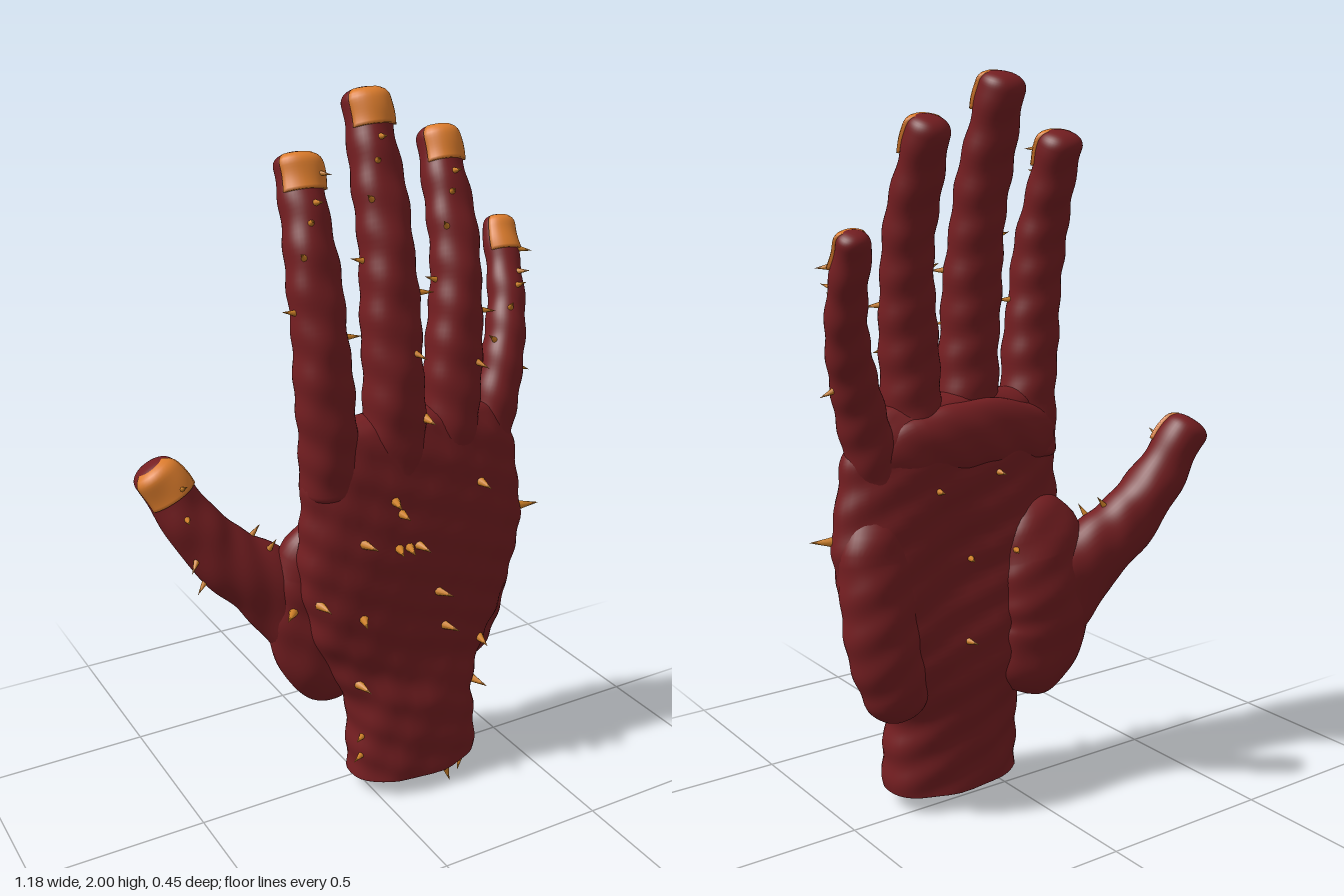
import * as THREE from 'three';

const skin = new THREE.MeshStandardMaterial({ color: 0x741e21 });
skin.name = 'darkRedSkin';
const nailMat = new THREE.MeshStandardMaterial({ color: 0xdc7c2c, side: THREE.DoubleSide });
nailMat.name = 'orangeNail';
const spikeMat = new THREE.MeshStandardMaterial({ color: 0xcc7f26 });
spikeMat.name = 'amberSpike';

const AROUND = 40;
const UP = new THREE.Vector3(0, 1, 0), FRONT = new THREE.Vector3(0, 0, 1);

// Tube through stations [x, y, z, halfWidth, halfDepth]; start and end are the rounded fractions of its length.
// at(u, angle, grow) gives a point on it.
function makeSurface(stations, { start, end, power = 2, upright = false, hollow = 0, wrinkles = 0.6 }) {
  const curve = f => new THREE.CatmullRomCurve3(stations.map(f), false, 'catmullrom', 0.5);
  const path = curve(s => new THREE.Vector3(s[0], s[1], s[2]));
  const size = curve(s => new THREE.Vector3(s[3], s[4], 0));
  const cap = k => k >= 1 ? 1 : Math.pow(Math.max(0, 1 - Math.pow(1 - k, 2.6)), 1 / 2.6);
  const bulge = v => Math.sign(v) * Math.pow(Math.abs(v), 2 / power);
  const at = (u, a, grow = 0) => {
    const q = path.getPoint(u), r = size.getPoint(u);
    const t = upright ? UP : path.getTangent(u);
    const side = new THREE.Vector3().crossVectors(t, FRONT).normalize();
    const front = new THREE.Vector3().crossVectors(side, t);
    const k = cap(u / start) * cap((1 - u) / end);
    const c = Math.cos(a), s = Math.sin(a);
    // Wrinkled skin
    const x = q.x + r.x * c;
    const g = grow + wrinkles * (0.004 * Math.sin(58 * q.y + 26 * x) + 0.003 * Math.sin(48 * x - 21 * q.y));
    q.addScaledVector(side, k * (r.x * bulge(c) + c * g)).addScaledVector(front, k * (r.y * bulge(s) + s * g));
    // Hollow of the palm
    if (s < 0) q.z -= s * hollow * Math.exp(-(((q.x - 0.18) / 0.14) ** 2) - ((q.y - 0.72) / 0.2) ** 2);
    return q;
  };
  return { at, start, end };
}

// Rows of points to a smooth surface; closed joins the last column to the first
function gridMesh(name, rows, closed, material) {
  const n = rows[0].length, idx = [];
  for (let i = 0; i < rows.length - 1; i++) {
    for (let j = 0; j < (closed ? n : n - 1); j++) {
      const a = i * n + j, b = i * n + (j + 1) % n;
      idx.push(a, a + n, b, b, a + n, b + n);
    }
  }
  const g = new THREE.BufferGeometry().setFromPoints(rows.flat());
  g.setIndex(idx);
  g.computeVertexNormals();
  const mesh = new THREE.Mesh(g, material);
  mesh.name = name;
  return mesh;
}

function limbMesh(name, surf, steps = 60) {
  const us = [], ease = i => 1 - Math.cos(i / 10 * Math.PI / 2);
  for (let i = 0; i < 10; i++) us.push(surf.start * ease(i));
  for (let i = 0; i <= steps; i++) us.push(surf.start + (1 - surf.start - surf.end) * i / steps);
  for (let i = 9; i >= 0; i--) us.push(1 - surf.end * ease(i));
  const rows = us.map(u => Array.from({ length: AROUND }, (_, j) => surf.at(u, j / AROUND * Math.PI * 2)));
  return gridMesh(name, rows, true, skin);
}

// Curved plate over the front of a fingertip, its rim sunk into the skin
function nailMesh(name, surf, from) {
  const N = 14, rows = [];
  const f = k => Math.min(1, Math.max(0, (k - 1) / (N - 2)));
  for (let i = 0; i <= N; i++) {
    rows.push(Array.from({ length: N + 1 }, (_, j) => {
      const rim = i % N === 0 || j % N === 0;
      const u = from + (1 - 0.15 * surf.end - from) * f(i);
      return surf.at(u, Math.PI * (0.14 + 0.72 * f(j)), rim ? -0.005 : 0.008);
    }));
  }
  return gridMesh(name, rows, false, nailMat);
}

const spikeGeo = new THREE.ConeGeometry(0.014, 0.065, 8).translate(0, 0.026, 0);
function spikeMesh(position, dir, scale) {
  const spike = new THREE.Mesh(spikeGeo, spikeMat);
  spike.name = 'spike';
  spike.position.copy(position);
  spike.quaternion.setFromUnitVectors(UP, dir.normalize());
  spike.scale.setScalar(scale);
  return spike;
}

export function createModel() {
  const hand = new THREE.Group();
  hand.name = 'hand';

  // Wrist and palm in one
  const palm = makeSurface([
    [0.155, 0.05, 0.055, 0.203, 0.122], [0.155, 0.17, 0.053, 0.203, 0.12], [0.15, 0.29, 0.045, 0.207, 0.118],
    [0.15, 0.4, 0.025, 0.255, 0.117], [0.155, 0.53, 0.025, 0.317, 0.122], [0.16, 0.75, 0.033, 0.355, 0.124],
    [0.155, 0.93, 0.04, 0.343, 0.107], [0.14, 1.07, 0.042, 0.315, 0.087], [0.1, 1.165, 0.045, 0.25, 0.05],
  ], { start: 0.006, end: 0.06, power: 2.35, upright: true, hollow: 0.045, wrinkles: 0.8 });
  hand.add(limbMesh('palm', palm, 110));

  // Fleshy pads, thickest in the middle
  const pad = (name, points, w, d) => {
    const stations = points.map((p, i) => {
      const k = 0.75 + 0.25 * Math.sin(Math.PI * i / (points.length - 1));
      return [...p, w * k, d * k];
    });
    hand.add(limbMesh(name, makeSurface(stations, { start: 0.15, end: 0.25 })));
  };
  pad('outerPalmPad', [[0.35, 0.3, -0.02], [0.4, 0.5, -0.015], [0.415, 0.7, 0], [0.41, 0.9, 0.02]], 0.108, 0.09);
  pad('thumbPad', [[-0.01, 0.3, -0.03], [-0.09, 0.47, -0.047], [-0.1, 0.65, -0.05], [-0.07, 0.86, -0.015]], 0.155, 0.098);
  pad('fingerRootPad', [[-0.16, 1.02, 0], [0.12, 1.05, -0.015], [0.42, 1, 0]], 0.1, 0.055);

  // Digits taper from root to tip and swell a little at the joints; each carries a nail and a few spikes
  const digit = (name, points, root, tip) => {
    const stations = points.map((p, i) => {
      const t = i / (points.length - 1);
      const w = tip + (root - tip) * (1 - t) ** 1.5 + 0.008 * Math.sin(Math.PI * t);
      return [...p, w, Math.min(0.97 * w, 0.08)];
    });
    const [a, b] = points.slice(-2).map(p => new THREE.Vector3(...p));
    const unit = 1 / (a.distanceTo(b) * (points.length - 1));
    const surf = makeSurface(stations, { start: 0.04, end: 0.04 * unit, power: 2.1 });
    hand.add(limbMesh(name, surf), nailMesh(name + 'Nail', surf, 1 - 0.105 * unit));
    for (let i = 0; i < 6; i++) {
      const u = 0.36 + 0.58 * ((i * 0.618 + root * 9) % 1), angle = Math.PI * ((i * 0.382 + root * 7) % 1);
      const p = surf.at(u, angle);
      const out = surf.at(u, angle, 0.1).sub(p).normalize();
      out.y += 0.35 * Math.sin(i * 2.4);
      hand.add(spikeMesh(p, out, 0.65));
    }
  };
  digit('indexFinger', [[-0.1, 0.95, 0.037], [-0.128, 1.25, 0.058], [-0.142, 1.57, 0.027], [-0.137, 1.85, -0.075]], 0.082, 0.057);
  digit('middleFinger', [[0.09, 0.95, 0.055], [0.074, 1.29, 0.064], [0.078, 1.65, 0.007], [0.08, 1.992, -0.11]], 0.088, 0.06);
  digit('ringFinger', [[0.26, 0.95, 0.045], [0.273, 1.25, 0.051], [0.302, 1.57, 0], [0.315, 1.88, -0.13]], 0.086, 0.055);
  digit('littleFinger', [[0.38, 0.93, 0.03], [0.45, 1.17, 0.018], [0.513, 1.38, -0.045], [0.543, 1.61, -0.157]], 0.07, 0.042);
  digit('thumb', [[-0.06, 0.48, -0.045], [-0.235, 0.66, -0.083], [-0.395, 0.81, -0.122], [-0.535, 1.05, -0.178]], 0.145, 0.06);

  // Remaining spikes are dropped onto the skin from outside
  const skinMeshes = hand.children.filter(m => m.material === skin);
  const caster = new THREE.Raycaster();
  const drop = (x, y, z, out, scale) => {
    const dir = new THREE.Vector3(...out).normalize();
    caster.set(new THREE.Vector3(x, y, z).addScaledVector(dir, 0.35), dir.clone().negate());
    const hit = caster.intersectObjects(skinMeshes, false)[0];
    if (!hit) return;
    dir.addScaledVector(hit.face.normal, 0.5);
    dir.x += 0.45 * Math.sin(37 * x + 11 * y);
    hand.add(spikeMesh(hit.point, dir, scale));
  };
  // Back of the hand
  const backSpots = [[0.04, 0.94], [0.06, 0.9], [0.32, 0.94], [-0.05, 0.83], [0.05, 0.8], [0.08, 0.8], [0.11, 0.8], [-0.16, 0.65],
    [-0.05, 0.6], [0.18, 0.64], [0.21, 0.52], [0.35, 0.43], [-0.05, 0.38], [0.34, 0.285], [0.14, 1.155]];
  backSpots.forEach(([x, y]) => drop(x, y, 0.1, [0, 0, 1], 1));
  // Palm side
  [[0.25, 0.92], [0.06, 0.95], [0.15, 0.72], [0.02, 0.73], [0.18, 0.5]].forEach(([x, y]) => drop(x, y, -0.1, [0, 0, -1], 0.7));
  // Edges of the palm and wrist
  drop(0.5, 0.8, 0.06, [1, 0, 0.3], 1);
  drop(-0.2, 0.61, 0, [-0.6, 0, 1], 1);
  [0.14, 0.2].forEach(y => drop(-0.04, y, 0.1, [-1, 0, 0.6], 0.7));
  drop(0.21, 0.05, 0.165, [0, -1, 0.1], 0.85);
  drop(0.27, 0.05, 0.15, [0, -1, 0.1], 0.6);
  return hand;
}
